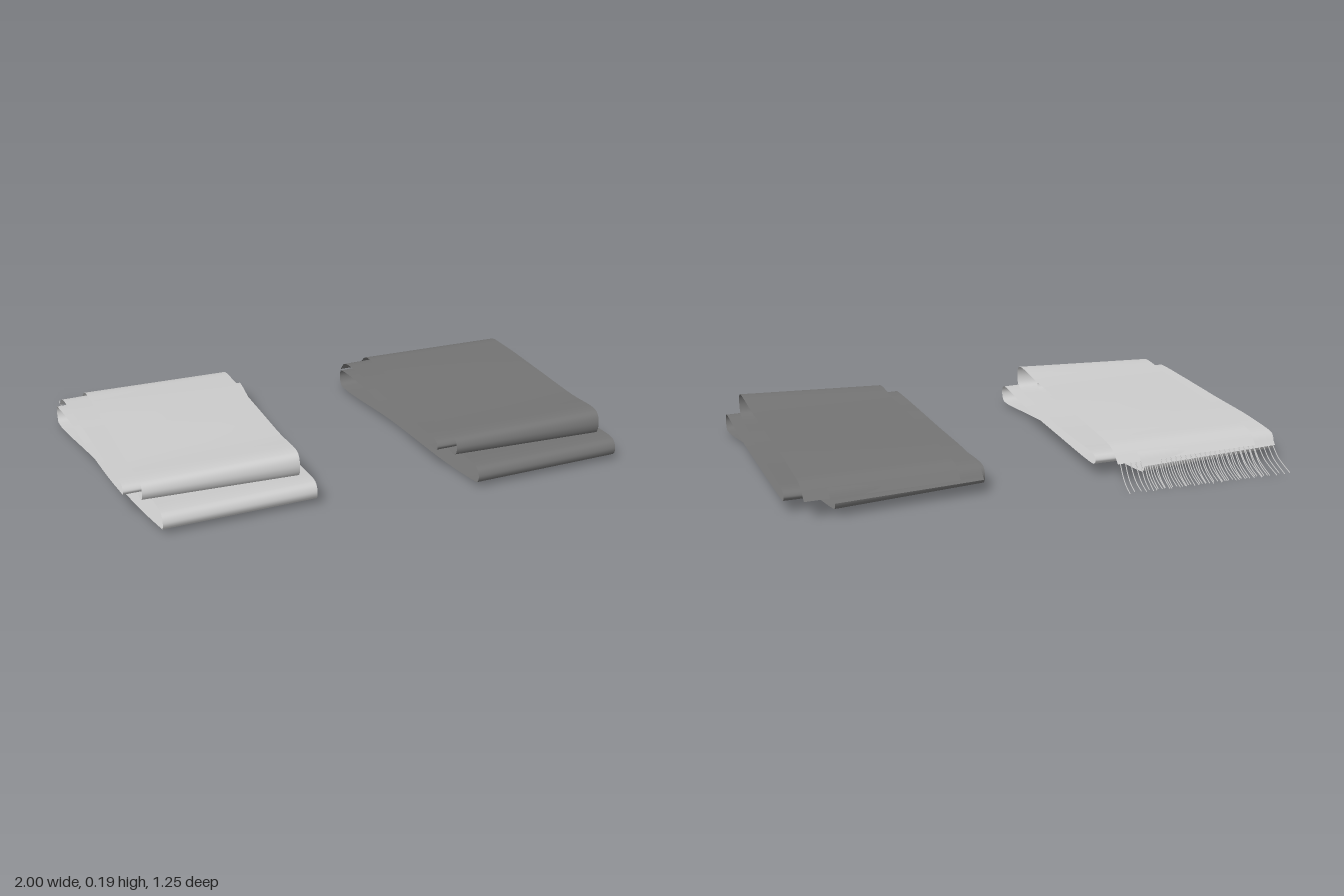
import * as THREE from 'three';

const WIDTH = 0.59;

// Folds of the doubled cloth in order, measured on its left edge.
// skew tilts the crease, lift raises the right edge, yIn and yOut are the sheet heights
const fold = (z, x, skew, yIn, yOut, lift = 0) => ({ z, x, skew, yIn, yOut, lift });
const STOPS = [
  fold(-0.475, 0.315, 0.05, 0.075, 0.075), // upper draped end
  fold(0.52, 0.36, 0.02, 0.16, 0.09, 0.025), // upper front fold
  fold(-0.405, 0.37, 0.02, 0.087, 0.045), // inner rear fold
  fold(0.622, 0.41, 0.1, 0.08, 0.016, 0.005), // low front fold
  fold(-0.41, 0.2, 0.14, 0.018, 0.09), // outer rear fold
  fold(0.475, 0.3, 0.09, 0.1, 0.14), // inner front fold
  fold(-0.46, 0.22, 0.1, 0.06, 0.06), // lower draped end
];

// [z, y] points of the sheet that follows each stop
const SHEETS = [
  [[-0.42, 0.118], [-0.3, 0.132], [0, 0.142], [0.3, 0.15]],
  [[0.3, 0.08], [0, 0.073], [-0.25, 0.083]],
  [[0, 0.05], [0.35, 0.06]],
  [[0.4, 0.012], [0, 0.02]],
  [[-0.2, 0.097], [0, 0.09], [0.3, 0.095]],
  [[0.3, 0.136], [0, 0.126], [-0.3, 0.117], [-0.42, 0.1]],
];

// Rounded turn of the cloth around one fold
function turn({ z, x, skew, yIn, yOut, lift }) {
  return [0, 1, 2, 3, 4].map((i) => {
    const a = (i / 4) * Math.PI;
    const blend = (1 - Math.cos(a)) / 2;
    return {
      x, skew,
      y: THREE.MathUtils.lerp(yIn, yOut, blend),
      z: z - Math.sign(z) * 0.035 * (1 - Math.sin(a)),
      lift: lift * (1 - blend),
    };
  });
}

// Sheet between two stops, drifting evenly from one to the other
function sheet(points, from, to) {
  return points.map(([z, y]) => {
    const f = (z - from.z) / (to.z - from.z);
    return {
      y, z,
      x: THREE.MathUtils.lerp(from.x, to.x, f),
      skew: THREE.MathUtils.lerp(from.skew, to.skew, f),
      lift: to.lift * f,
    };
  });
}

const last = STOPS.length - 1;
const path = STOPS.flatMap((stop, i) => [
  ...(i === 0 || i === last ? [{ ...stop, y: stop.yIn }] : turn(stop)),
  ...(i < last ? sheet(SHEETS[i], stop, STOPS[i + 1]) : []),
]);

const edge = (u) => new THREE.CatmullRomCurve3(path.map((p) => new THREE.Vector3(
  p.x + WIDTH * u, p.y + p.lift * u, p.z - p.skew * WIDTH * u)), false, 'centripetal');
const leftEdge = edge(0);
const rightEdge = edge(1);

// Point on the cloth: t runs along it, u across it
const clothPoint = (t, u) => leftEdge.getPoint(t).lerp(rightEdge.getPoint(t), u);

function clothGeometry() {
  const across = 10, along = (path.length - 1) * 6;
  const geometry = new THREE.PlaneGeometry(1, 1, across, along);
  const pos = geometry.attributes.position;
  for (let j = 0; j <= along; j++) {
    for (let i = 0; i <= across; i++) {
      const p = clothPoint(j / along, i / across);
      pos.setXYZ(j * (across + 1) + i, p.x, p.y, p.z);
    }
  }
  geometry.computeVertexNormals();
  return geometry;
}

// A row of thin threads hanging from one end of the cloth
function fringe(t, material) {
  const row = new THREE.Group();
  row.name = 'fringe';
  const count = 28;
  for (let i = 0; i < count; i++) {
    const p = clothPoint(t, (i + 0.5) / count);
    const tipZ = -0.62 - 0.008 * Math.sin(i * 2.4);
    const sway = 0.008 + 0.004 * Math.sin(i * 1.7);
    const at = (f, y) => new THREE.Vector3(p.x + sway * f, y, THREE.MathUtils.lerp(p.z, tipZ, f));
    const curve = new THREE.CatmullRomCurve3([
      p, at(0.3, p.y * 0.5), at(0.6, 0.016), at(1, 0.003),
    ]);
    const thread = new THREE.Mesh(new THREE.TubeGeometry(curve, 8, 0.002, 5), material);
    thread.name = 'fringeThread';
    row.add(thread);
  }
  return row;
}

function foldedScarf(name, color, fringed) {
  const scarf = new THREE.Group();
  scarf.name = name;
  const material = new THREE.MeshStandardMaterial({ color, side: THREE.DoubleSide });
  const cloth = new THREE.Mesh(clothGeometry(), material);
  cloth.name = 'foldedCloth';
  scarf.add(cloth);
  if (fringed) scarf.add(fringe(0, material), fringe(1, material));
  return scarf;
}

export function createModel() {
  const model = new THREE.Group();
  model.name = 'foldedScarves';
  const light = foldedScarf('lightFringedScarf', 0xcccccc, true);
  light.position.x = -1.2;
  model.add(light, foldedScarf('darkPlainScarf', 0x747474, false));
  return model;
}
